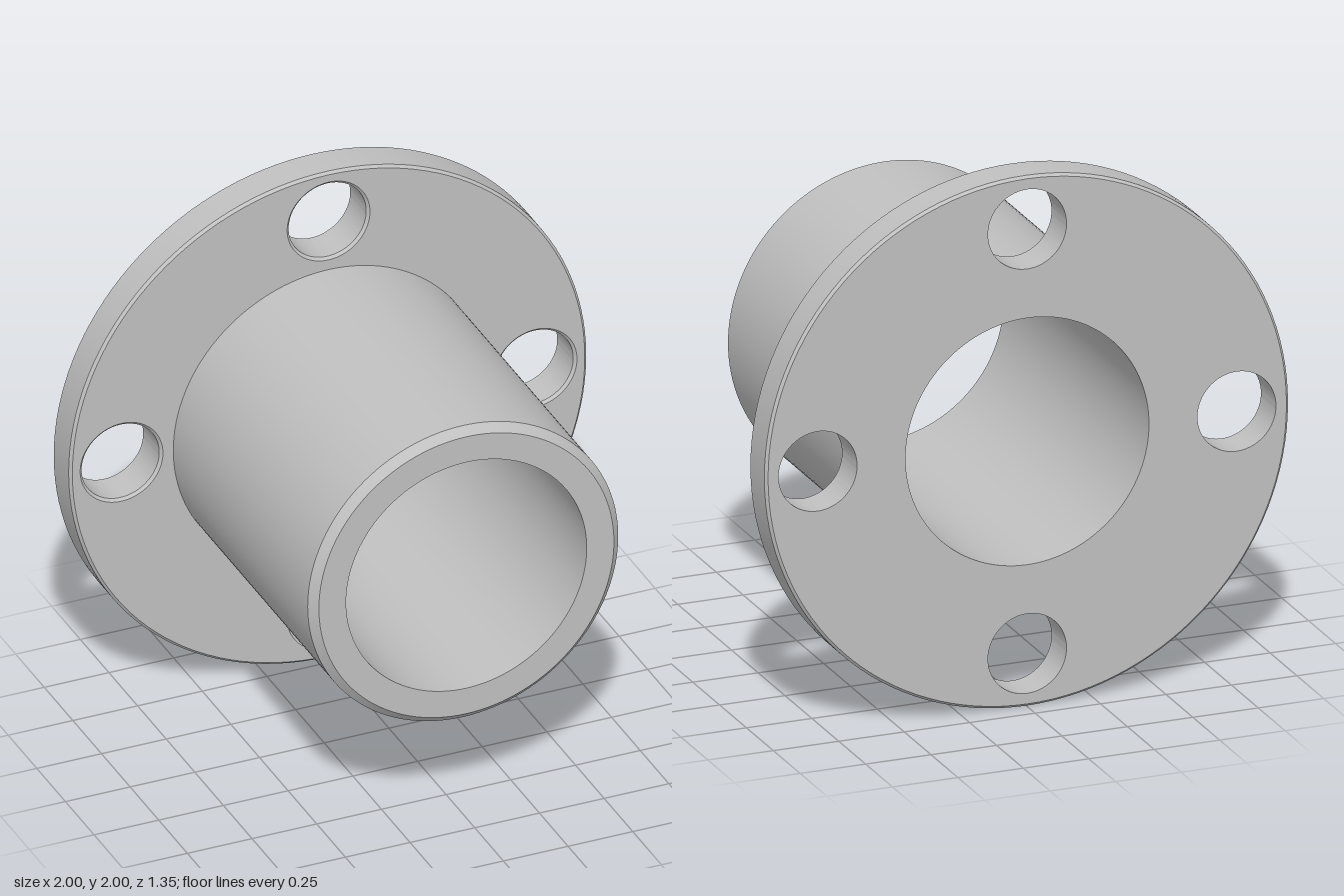
import * as THREE from 'three';
import { toCreasedNormals } from 'three/addons/utils/BufferGeometryUtils.js';

const BACK = -0.677, FLANGE_FRONT = -0.527, FRONT = 0.677;
const OUTER = 1, SLEEVE = 0.6, BORE = 0.465;
const HOLE = 0.15, HOLE_CIRCLE = 0.8, BEVEL = 0.01, CHAMFER = 0.03;
const SEGMENTS = 128;

// Surface of revolution about z from [radius, z] pairs, with sharp edges kept
function turned(profile) {
  const points = profile.map(([r, z]) => new THREE.Vector2(r, z));
  const geometry = new THREE.LatheGeometry(points, SEGMENTS).rotateX(Math.PI / 2);
  return toCreasedNormals(geometry, 0.5);
}

export function createModel() {
  const model = new THREE.Group();
  model.name = 'flangedBushing';
  const steel = new THREE.MeshStandardMaterial({ color: 0xc0c0c0 });
  steel.name = 'grey steel';

  const body = new THREE.Group();
  body.name = 'bushing';
  body.position.y = 1;
  model.add(body);

  const add = (name, geometry) => {
    const mesh = new THREE.Mesh(geometry, steel);
    mesh.name = name;
    body.add(mesh);
    return mesh;
  };

  const holeCentres = [0, 1, 2, 3].map((i) => {
    const a = (i * Math.PI) / 2;
    return [HOLE_CIRCLE * Math.cos(a), HOLE_CIRCLE * Math.sin(a)];
  });

  // Flat disc with a centre opening and four bolt openings
  const flangeFace = (centreRadius, holeRadius) => {
    const shape = new THREE.Shape().absarc(0, 0, OUTER - BEVEL, 0, Math.PI * 2);
    const cut = (x, y, r) => shape.holes.push(new THREE.Path().absarc(x, y, r, 0, Math.PI * 2));
    cut(0, 0, centreRadius);
    holeCentres.forEach(([x, y]) => cut(x, y, holeRadius));
    return new THREE.ShapeGeometry(shape, SEGMENTS / 2);
  };

  // Sleeve: outer wall, front chamfer, end ring and through bore
  add('sleeve', turned([
    [SLEEVE, FLANGE_FRONT], [SLEEVE, FRONT - CHAMFER], [SLEEVE - CHAMFER, FRONT],
    [BORE, FRONT], [BORE, BACK],
  ]));

  // Flange faces and bevelled rim
  add('flangeFront', flangeFace(SLEEVE, HOLE + BEVEL)).position.z = FLANGE_FRONT;
  const back = add('flangeBack', flangeFace(BORE, HOLE));
  back.rotation.y = Math.PI;
  back.position.z = BACK;
  add('flangeRim', turned([
    [OUTER - BEVEL, BACK], [OUTER, BACK + BEVEL],
    [OUTER, FLANGE_FRONT - BEVEL], [OUTER - BEVEL, FLANGE_FRONT],
  ]));

  // Bolt hole walls, bevelled at the front
  const holeWall = turned([
    [HOLE + BEVEL, FLANGE_FRONT], [HOLE, FLANGE_FRONT - BEVEL], [HOLE, BACK],
  ]);
  holeCentres.forEach(([x, y], i) => add(`boltHole${i + 1}`, holeWall).position.set(x, y, 0));

  return model;
}
